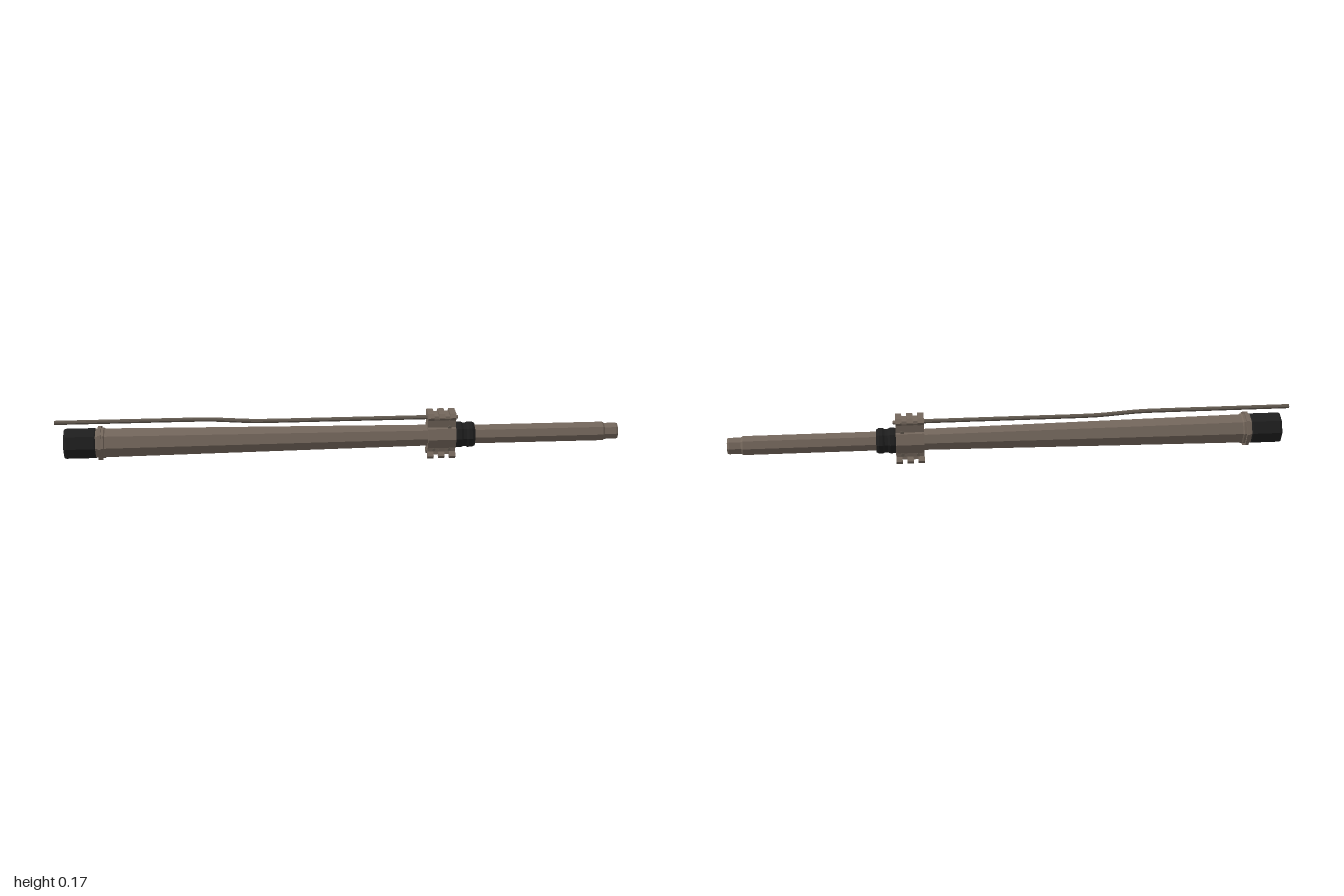
import * as THREE from 'three';

const AXIS_Y = 0.079;

export function createModel() {
  const group = new THREE.Group();
  const material = (name, color, side = THREE.FrontSide) => {
    const m = new THREE.MeshStandardMaterial({ color, flatShading: true, side });
    m.name = name;
    return m;
  };
  const steel = material('brownSteel', 0x74675c);
  const black = material('blackSteel', 0x1f1f1f);
  const tubeSteel = material('tubeSteel', 0x635a50);

  const add = (name, geometry, mat, x = 0, y = 0, z = 0) => {
    const mesh = new THREE.Mesh(geometry, mat);
    mesh.name = name;
    mesh.position.set(x, y, z);
    group.add(mesh);
    return mesh;
  };

  // Eight-sided turned part along x, from [x, radius] pairs
  const turned = (name, profile, mat) => {
    const points = profile.map(([x, r]) => new THREE.Vector2(r, x));
    const g = new THREE.LatheGeometry(points, 8).rotateZ(-Math.PI / 2);
    return add(name, g, mat, 0, AXIS_Y, 0);
  };

  // Cross-section of [z, y] corners pushed along x
  const pushed = (name, corners, x, length, mat) => {
    const shape = new THREE.Shape(corners.map(([z, y]) => new THREE.Vector2(-z, y)));
    const g = new THREE.ExtrudeGeometry(shape, { depth: length, bevelEnabled: false });
    return add(name, g.rotateY(Math.PI / 2), mat, x, 0, 0);
  };
  const mirrored = (half) => [...half, ...half.map(([z, y]) => [-z, y]).reverse()];

  // Hollow rear nut
  turned('rearNut', [
    [-0.9, 0], [-0.9, 0.038], [-0.968, 0.038], [-0.968, 0.054], [-0.96, 0.057],
    [-0.862, 0.057], [-0.855, 0.053], [-0.855, 0],
  ], black);

  // Collar and thin flange in front of the nut
  turned('collar', [[-0.858, 0], [-0.858, 0.055], [-0.83, 0.058], [-0.825, 0.054]], steel);
  turned('flange', [[-0.849, 0], [-0.849, 0.065], [-0.838, 0.065], [-0.838, 0]], steel);

  // Tapered main barrel
  turned('mainBarrel', [[-0.845, 0], [-0.845, 0.055], [0.33, 0.04], [0.33, 0]], steel);

  // Black locking ring with a shallow waist
  turned('lockingRing', [
    [0.405, 0], [0.405, 0.045], [0.42, 0.049], [0.433, 0.049], [0.441, 0.045],
    [0.452, 0.045], [0.46, 0.049], [0.472, 0.049], [0.482, 0.043], [0.482, 0],
  ], black);

  // Slim front barrel with stepped tip and recessed bore
  turned('frontBarrel', [
    [0.47, 0], [0.47, 0.036], [0.945, 0.036], [0.952, 0.031],
    [0.993, 0.031], [1, 0.028], [1, 0.015], [0.96, 0.015], [0.96, 0],
  ], steel);

  // Clamp body around the barrel
  turned('clampBody', [[0.313, 0], [0.313, 0.051], [0.413, 0.051], [0.413, 0]], steel);
  pushed('railBase', mirrored([[0.028, 0.1], [0.028, 0.145], [0.03, 0.15], [0.028, 0.16]]),
    0.313, 0.1, steel);

  // Three rail teeth above and paired feet below
  const tooth = mirrored([[0.028, 0.13], [0.028, 0.144], [0.04, 0.157], [0.028, 0.17]]);
  const foot = [[0.028, 0.05], [0.027, 0.026], [0.04, 0.013], [0.028, 0], [0.022, 0],
    [0.013, 0.019], [0.013, 0.05]];
  const footBase = [[0.027, 0.05], [0.027, 0.026], [0.029, 0.016], [0.015, 0.016], [0.013, 0.05]];
  const flip = (corners) => corners.map(([z, y]) => [-z, y]);
  for (let i = 0; i < 3; i++) {
    const x = 0.313 + i * 0.039;
    pushed('railTooth', tooth, x, 0.022, steel);
    pushed('lowerTooth', foot, x, 0.022, steel);
    pushed('lowerTooth', flip(foot), x, 0.022, steel);
  }
  pushed('lowerRailBase', footBase, 0.313, 0.1, steel);
  pushed('lowerRailBase', flip(footBase), 0.313, 0.1, steel);
  pushed('lowerBridge', mirrored([[0.014, 0.05], [0.014, 0.02]]), 0.313, 0.1, steel);

  // Cross pin through the rail neck, and clamp screws below
  add('crossPin', new THREE.CylinderGeometry(0.007, 0.007, 0.068, 8).rotateX(Math.PI / 2),
    tubeSteel, 0.39, 0.118, 0);
  for (const x of [0.335, 0.39]) {
    add('clampScrew', new THREE.CylinderGeometry(0.006, 0.006, 0.062, 8).rotateX(Math.PI / 2),
      tubeSteel, x, 0.034, 0);
  }

  // Front plug on the clamp
  add('frontPlug', new THREE.CylinderGeometry(0.006, 0.009, 0.012, 8).rotateZ(-Math.PI / 2),
    steel, 0.417, 0.147, 0);

  // Thin tube with a gentle step down
  const path = new THREE.CatmullRomCurve3([
    [-1, 0.159], [-0.75, 0.159], [-0.5, 0.159], [-0.45, 0.158],
    [-0.31, 0.149], [-0.26, 0.148], [0, 0.148], [0.32, 0.148],
  ].map(([x, y]) => new THREE.Vector3(x, y, 0)));
  add('thinTube', new THREE.TubeGeometry(path, 40, 0.008, 8), tubeSteel);
  add('tubeEnd', new THREE.CircleGeometry(0.008, 8).rotateY(-Math.PI / 2), tubeSteel, -1, 0.159, 0);

  return group;
}
